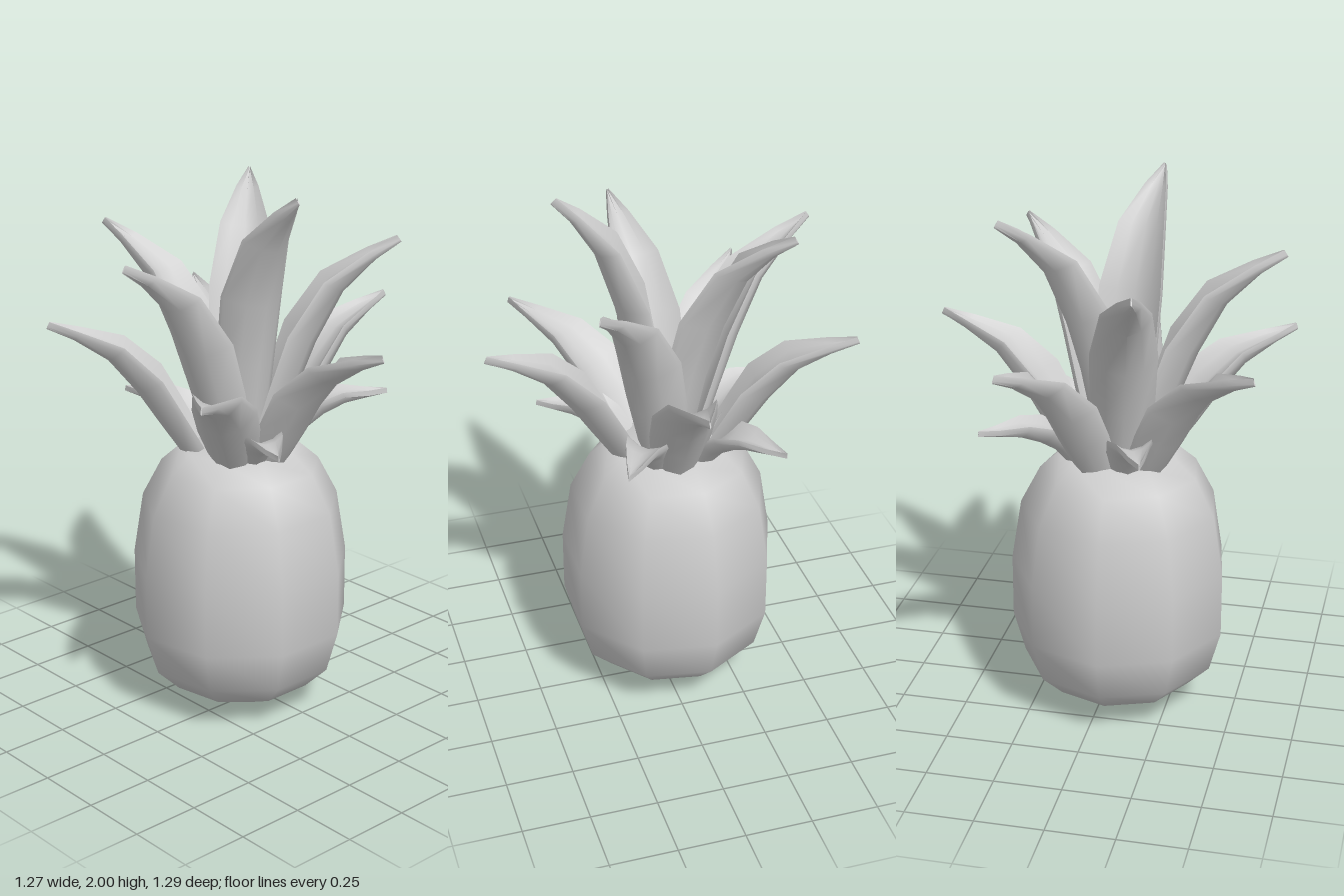
import * as THREE from 'three';
import { toCreasedNormals } from 'three/addons/utils/BufferGeometryUtils.js';

const CX = -0.055, CZ = -0.035; // axis of the fruit

// Leaf stations: [outward fraction, height fraction, width, edge lift]
const STATIONS = [
  [0, 0, 0.8, 0.09],
  [0.18, 0.26, 0.97, 0.105],
  [0.34, 0.5, 1, 0.115],
  [0.55, 0.75, 0.74, 0.09],
  [0.8, 0.91, 0.34, 0.045],
  [1, 1, 0.02, 0.028],
];
const ACROSS = [-1, -0.55, 0, 0.55, 1];

// Channelled leaf that rises from the crown and bends outward to its tip
function leafGeometry([tipX, tipY, tipZ], { baseR, halfWidth, rise }) {
  const baseY = 0.98;
  const dir = new THREE.Vector3(tipX - CX, 0, tipZ - CZ);
  const reach = dir.length();
  dir.normalize();
  const side = new THREE.Vector3(dir.z, 0, -dir.x);
  const path = STATIONS.map(([u, v]) => [
    baseR + (reach - baseR) * u,
    baseY + (tipY - 0.025 - baseY) * v ** rise,
  ]);
  const depthScale = halfWidth / 0.115;
  const positions = [], index = [];
  const n = ACROSS.length * 2;

  STATIONS.forEach(([, , width, edge], i) => {
    const a = path[Math.max(0, i - 1)], b = path[Math.min(path.length - 1, i + 1)];
    const len = Math.hypot(b[0] - a[0], b[1] - a[1]);
    const nr = -(b[1] - a[1]) / len, ny = (b[0] - a[0]) / len; // toward the axis and up
    const lift = edge * depthScale;
    const put = (t, h) => {
      const r = path[i][0] + nr * h, w = t * width * halfWidth;
      positions.push(CX + dir.x * r + side.x * w, path[i][1] + ny * h, CZ + dir.z * r + side.z * w);
    };
    ACROSS.forEach((t) => put(t, (lift - 0.02) * t * t));
    [...ACROSS].reverse().forEach((t) => put(t, lift * (0.55 + 0.45 * t * t)));
  });

  for (let i = 0; i < STATIONS.length - 1; i++) {
    for (let j = 0; j < n; j++) {
      const a = i * n + j, b = i * n + (j + 1) % n;
      index.push(a, b, b + n, a, b + n, a + n);
    }
  }
  // Caps at base and tip
  const last = (STATIONS.length - 1) * n;
  for (let j = 0; j < ACROSS.length - 1; j++) {
    const k = n - 1 - j;
    index.push(j, k, k - 1, j, k - 1, j + 1);
    index.push(last + j, last + j + 1, last + k - 1, last + j, last + k - 1, last + k);
  }
  const geometry = new THREE.BufferGeometry();
  geometry.setAttribute('position', new THREE.Float32BufferAttribute(positions, 3));
  geometry.setIndex(index);
  return toCreasedNormals(geometry, 0.9);
}

export function createModel() {
  const model = new THREE.Group();
  model.name = 'pineapple';
  const grey = new THREE.MeshStandardMaterial({ color: 0xcccccc });
  grey.name = 'light grey';

  // Nine-sided rounded fruit
  const profile = [
    [0, 0], [0.147, 0.025], [0.275, 0.09], [0.362, 0.175], [0.405, 0.33],
    [0.405, 0.57], [0.368, 0.8], [0.295, 0.94], [0.215, 1.01], [0, 1.03],
  ].map(([r, y]) => new THREE.Vector2(r, y));
  const body = new THREE.Mesh(new THREE.LatheGeometry(profile, 9, Math.PI), grey);
  body.name = 'fruitBody';
  body.position.set(CX, 0, CZ);
  model.add(body);

  // Whorls of crown leaves, each leaf given by its tip
  const whorls = [
    { name: 'innerLeaf', baseR: 0.08, halfWidth: 0.12, rise: 0.75, tips: [
      [-0.14, 2, 0.36], [0.305, 1.95, -0.38]] },
    { name: 'upperLeaf', baseR: 0.12, halfWidth: 0.12, rise: 0.9, tips: [
      [0.385, 1.79, 0.335], [-0.635, 1.79, 0.03], [-0.215, 1.79, -0.62]] },
    { name: 'middleLeaf', baseR: 0.21, halfWidth: 0.115, rise: 1, tips: [
      [-0.6, 1.49, -0.46], [0.245, 1.5, -0.65], [0.63, 1.49, 0.03],
      [-0.015, 1.49, 0.645], [-0.635, 1.39, 0.425]] },
    { name: 'lowerLeaf', baseR: 0.19, halfWidth: 0.08, rise: 0.6, tips: [
      [0.395, 1.17, -0.335], [-0.22, 1.17, -0.5], [0.42, 1.2, 0.25], [-0.275, 1.14, 0.41]] },
  ];
  const crown = new THREE.Group();
  crown.name = 'crown';
  for (const whorl of whorls) {
    whorl.tips.forEach((tip, i) => {
      const leaf = new THREE.Mesh(leafGeometry(tip, whorl), grey);
      leaf.name = `${whorl.name}${i + 1}`;
      crown.add(leaf);
    });
  }
  model.add(crown);
  return model;
}
